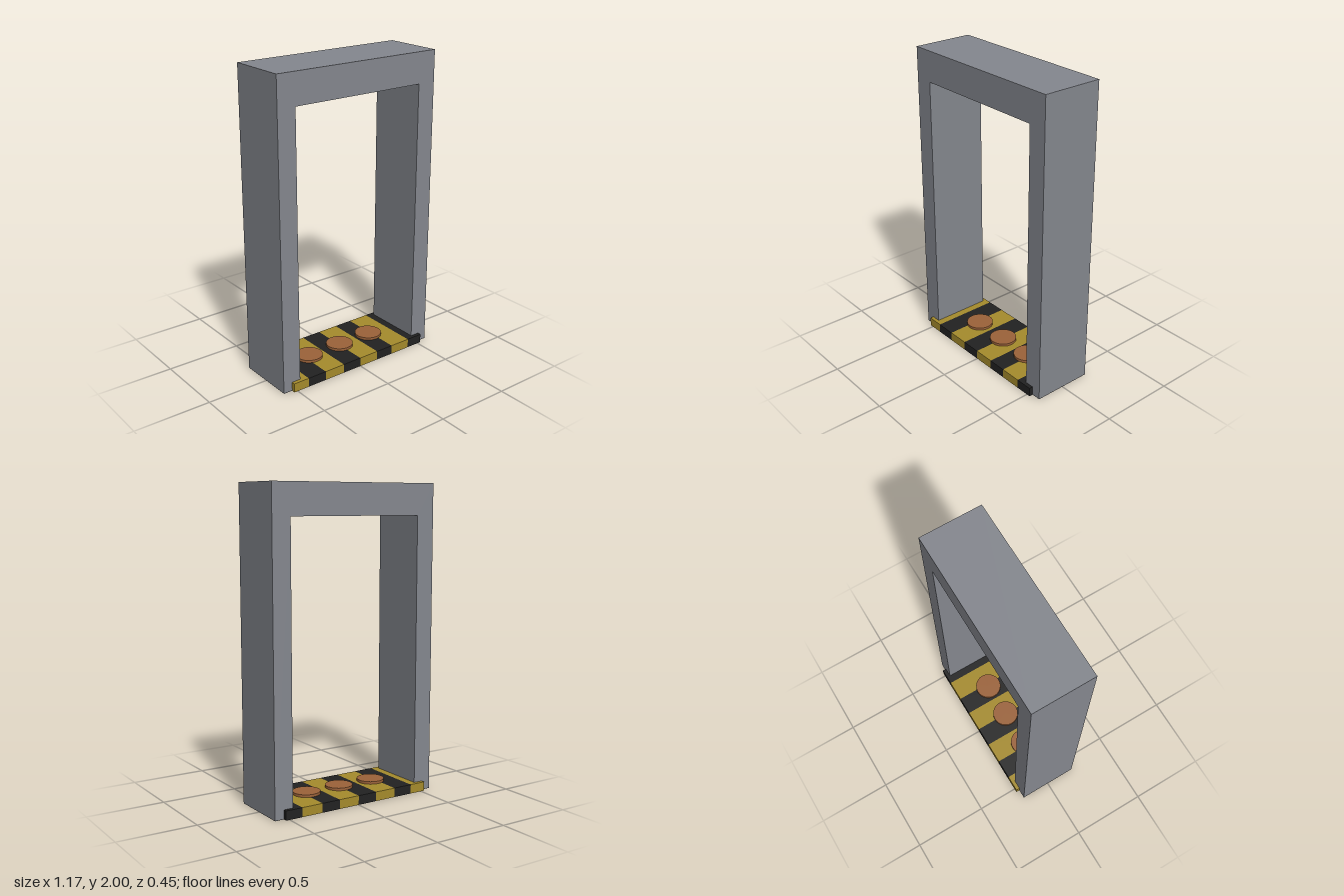
import * as THREE from 'three';

const material = (name, color) => {
  const m = new THREE.MeshStandardMaterial({ color });
  m.name = name;
  return m;
};

export function createModel() {
  const model = new THREE.Group();
  model.name = 'gateway';
  const grey = material('frame grey', 0x85888f);
  const yellow = material('hazard yellow', 0xa68c2c);
  const black = material('hazard black', 0x222222);
  const copper = material('pad copper', 0x9c633a);

  const add = (name, geometry, mat, x = 0, y = 0, z = 0) => {
    const mesh = new THREE.Mesh(geometry, mat);
    mesh.name = name;
    mesh.position.set(x, y, z);
    model.add(mesh);
  };

  // Door frame: two legs and a lintel in one outline
  const outer = 0.587, inner = 0.463, depth = 0.4, foot = 0.003;
  const outline = new THREE.Shape([
    [-outer, foot], [-inner, foot], [-inner, 1.8], [inner, 1.8],
    [inner, foot], [outer, foot], [outer, 2], [-outer, 2],
  ].map(([x, y]) => new THREE.Vector2(x, y)));
  add('frame', new THREE.ExtrudeGeometry(outline, { depth, bevelEnabled: false }), grey, 0, 0, -depth / 2);

  // Dark soles under the legs
  for (const side of [-1, 1]) {
    add('legSole', new THREE.BoxGeometry(outer - inner, 0.002, depth), black,
      side * (outer + inner) / 2, 0.002, 0);
  }

  // Striped threshold, one block per stripe
  const edges = [-0.525, -0.415, -0.282, -0.137, -0.002, 0.141, 0.267, 0.411, 0.525];
  for (let i = 0; i < edges.length - 1; i++) {
    const width = edges[i + 1] - edges[i];
    add('thresholdStripe', new THREE.BoxGeometry(width, 0.06, 0.45), i % 2 ? black : yellow,
      edges[i] + width / 2, 0.03, 0);
  }

  // Round pads on the threshold
  for (const x of [-0.25, 0, 0.245]) {
    add('pad', new THREE.CylinderGeometry(0.089, 0.089, 0.025, 32), copper, x, 0.0645, 0);
  }
  return model;
}
